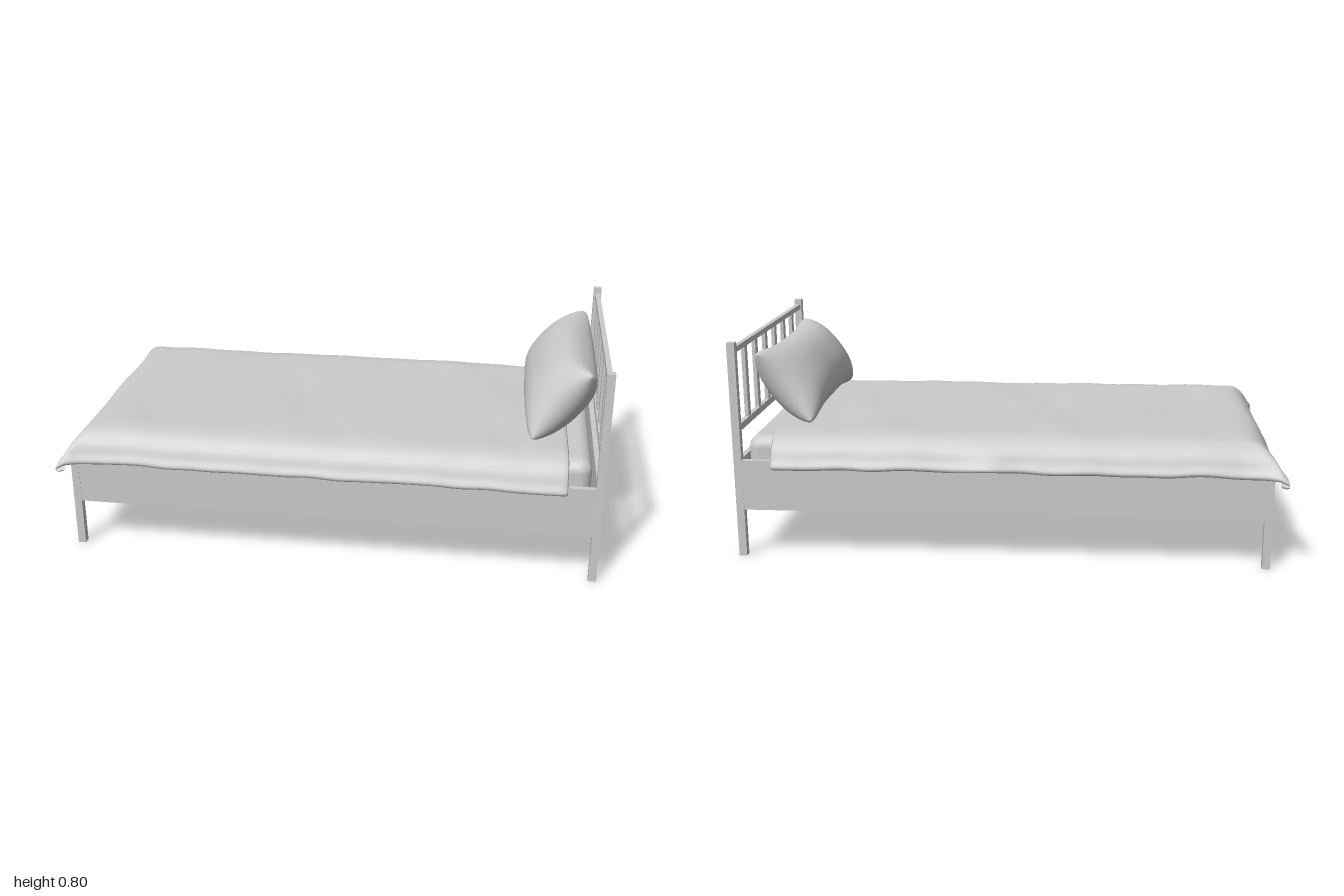
import * as THREE from 'three';
import { mergeVertices } from 'three/addons/utils/BufferGeometryUtils.js';
import { RoundedBoxGeometry } from 'three/addons/geometries/RoundedBoxGeometry.js';

const grey = new THREE.MeshStandardMaterial({ color: 0xcccccc });
const cloth = new THREE.MeshStandardMaterial({ color: 0xcccccc, side: THREE.DoubleSide });

// Smooth surface through a grid of points
function gridGeometry(rows, cols, point) {
  const pos = [], index = [];
  for (let i = 0; i < rows; i++)
    for (let j = 0; j < cols; j++) pos.push(...point(i, j));
  for (let i = 0; i < rows - 1; i++)
    for (let j = 0; j < cols - 1; j++) {
      const a = i * cols + j, b = a + cols;
      index.push(a, b, b + 1, a, b + 1, a + 1);
    }
  let g = new THREE.BufferGeometry();
  g.setAttribute('position', new THREE.Float32BufferAttribute(pos, 3));
  g.setIndex(index);
  g = mergeVertices(g, 1e-5);
  g.computeVertexNormals();
  return g;
}

// Drape profile: x is distance outwards, y is drop below the top
const drape = new THREE.CatmullRomCurve3([
  [0, 0], [0.19, 0], [0.38, 0], [0.45, 0.013], [0.488, 0.048],
  [0.506, 0.085], [0.519, 0.11], [0.512, 0.121], [0.49, 0.113],
].map(([d, drop]) => new THREE.Vector3(d, drop, 0)));

function blanketGeometry() {
  const side = drape.getPoints(48);
  const across = [
    ...side.slice(1).reverse().map(p => [-p.x, Math.max(p.y, 0)]),
    ...side.map(p => [p.x, Math.max(p.y, 0)]),
  ];
  // Tucked head hem, flat top, then the foot drape
  const hem = [[0.84, 0.016], [0.856, 0.014], [0.862, 0.008], [0.857, 0.001]];
  const along = hem.map(([x, tuck]) => [x, 0, tuck]);
  for (let i = 0; i < 48; i++) along.push([0.84 - i * 1.665 / 48, 0, 0]);
  for (const p of side.slice(12)) along.push([-0.445 - p.x, Math.max(p.y, 0), 0]);

  return gridGeometry(along.length, across.length, (i, j) => {
    const [x, dx, tuck] = along[i], [z, dz] = across[j];
    const drop = Math.pow(dx ** 4 + dz ** 4, 0.25);
    const k = dx * dz / 0.0146;
    const corner = k * (1.6 - 0.85 * k);
    const hang = dz / 0.12;
    const s = Math.sign(z);
    const wrinkle = 0.0025 * Math.sin(8 * x + 3 * z) * Math.sin(9 * z - 4 * x + 1)
      + 0.002 * Math.sin(19 * x + 2) * Math.cos(11 * z)
      + 0.0015 * Math.sin(13 * z + 5) * Math.sin(29 * x);
    const bulge = z < 0 ? Math.exp(-(((x - 0.07) / 0.07) ** 2)) : 0;
    const ripple = 0.0015 * Math.sin(19 * x + s) + 0.001 * Math.sin(41 * x);
    const nearHead = Math.max(0, x - 0.5) / 0.36;
    return [
      x - 0.03 * corner + (dx / 0.12) * 0.003 * Math.sin(16 * z) + 0.012 * z * nearHead + 0.002,
      0.465 - drop - tuck * (1 - hang) - 0.005 * nearHead + wrinkle + 0.012 * bulge * hang,
      z + s * (0.05 * corner + hang * (0.018 * bulge + ripple) - tuck * hang),
    ];
  });
}

// Plump cushion whose short ends narrow to a seam with blunt corners
function pillowGeometry() {
  const rows = 49, cols = 49;
  const soft = c => Math.sign(c) * Math.abs(c) ** 0.85;
  return gridGeometry(rows, cols, (i, j) => {
    const v = Math.cos(i / (rows - 1) * Math.PI);
    const a = (j % (cols - 1)) / (cols - 1) * Math.PI * 2;
    const thick = 0.113 * Math.sqrt(Math.max(0, 1 - Math.abs(v) ** 3.6));
    const c = soft(Math.cos(a));
    const length = 0.143 + 0.028 * v ** 4 - 0.016 * v ** 24;
    return [thick * soft(Math.sin(a)), length * c, v * (0.345 + 0.015 * c * c)];
  });
}

export function createModel() {
  const bed = new THREE.Group();
  bed.name = 'bed';

  const add = (name, geometry, material = grey) => {
    const m = new THREE.Mesh(geometry, material);
    m.name = name;
    bed.add(m);
    return m;
  };
  // Box given by its limits on each axis
  const box = (name, x0, x1, y0, y1, z0, z1) =>
    add(name, new THREE.BoxGeometry(x1 - x0, y1 - y0, z1 - z0))
      .position.set((x0 + x1) / 2, (y0 + y1) / 2, (z0 + z1) / 2);

  // Posts and side rails
  const mid = 0.004;
  for (const s of [-1, 1]) {
    const zBox = (name, x0, x1, y0, y1, inner, outer) =>
      box(name, x0, x1, y0, y1,
        mid + Math.min(s * inner, s * outer), mid + Math.max(s * inner, s * outer));
    zBox('headPost', 0.967, 0.996, 0, 0.8, 0.468, 0.495);
    zBox('footPost', -0.945, -0.916, 0, 0.367, 0.468, 0.495);
    zBox('sideRail', -0.916, 0.967, 0.18, 0.367, 0.474, 0.494);
  }

  // Boards spanning between the posts
  const zIn = mid - 0.468, zOut = mid + 0.468;
  box('headPanel', 0.972, 0.992, 0.18, 0.367, zIn, zOut);
  box('footPanel', -0.942, -0.922, 0.18, 0.367, zIn, zOut);
  box('headboardTopRail', 0.972, 0.99, 0.76, 0.78, zIn, zOut);
  box('headboardLowerRail', 0.972, 0.99, 0.47, 0.496, zIn, zOut);

  // Headboard spindles
  for (let i = 0; i < 6; i++) {
    const z = 0.342 - i * 0.135;
    box('headboardSpindle', 0.974, 0.988, 0.496, 0.76, z - 0.015, z + 0.015);
  }

  // Slats under the mattress
  for (let i = 0; i < 10; i++) {
    const x = -0.81 + i * 0.184;
    box('slat', x - 0.05, x + 0.05, 0.2, 0.218, mid - 0.474, mid + 0.474);
  }

  // Mattress
  add('mattress', new RoundedBoxGeometry(1.865, 0.231, 0.92, 5, 0.045))
    .position.set(0.02, 0.3335, 0);

  // Bedding
  add('blanket', blanketGeometry(), cloth);
  const pillow = add('pillow', pillowGeometry(), cloth);
  pillow.position.set(0.833, 0.608, 0);
  pillow.rotation.z = -0.65;

  return bed;
}
